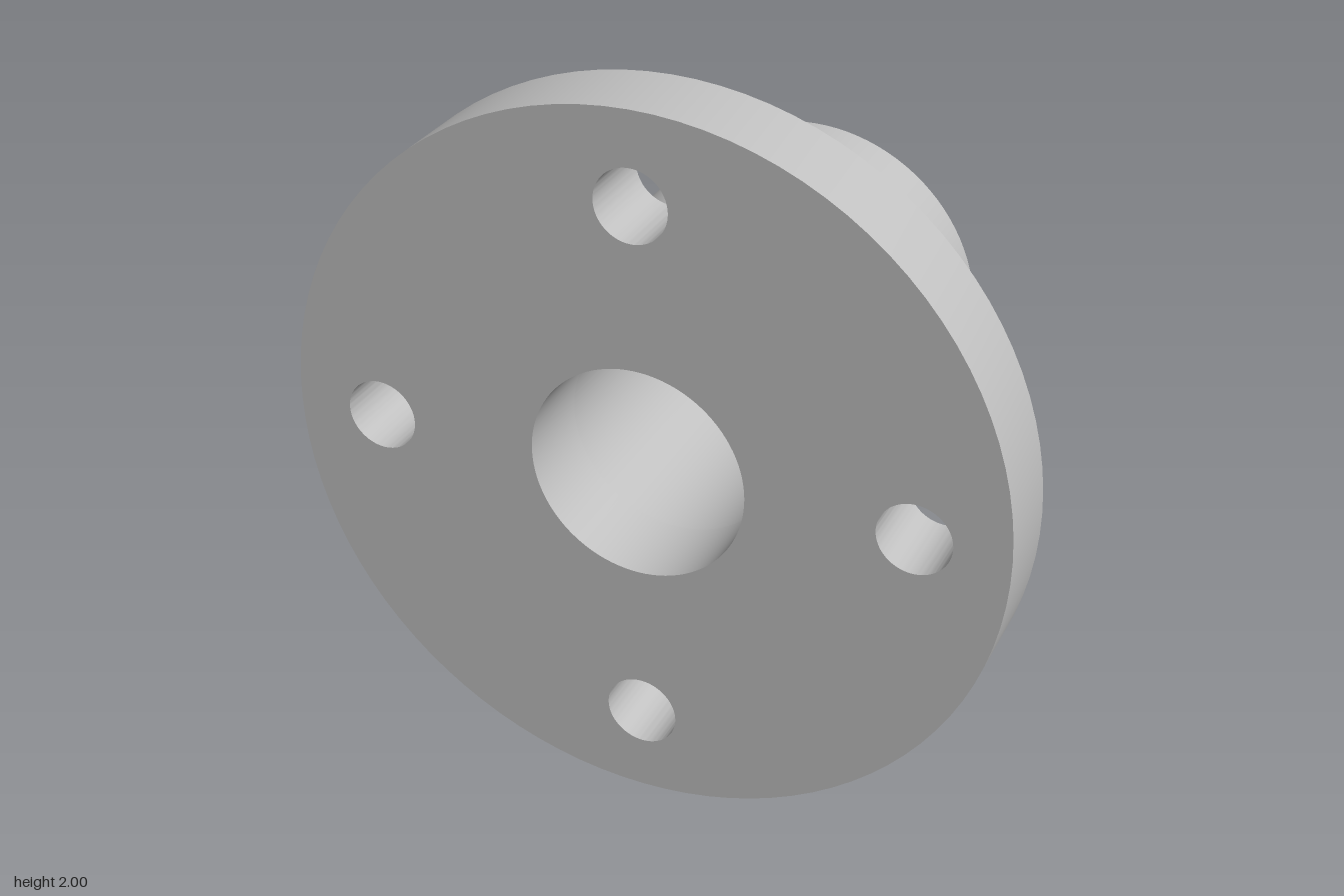
import * as THREE from 'three';
import { toCreasedNormals } from 'three/addons/utils/BufferGeometryUtils.js';

const AXIS_Y = 1;
const FLANGE_R = 1, HUB_R = 0.5, BORE_R = 0.3;
const BOLT_R = 0.1, BOLT_CIRCLE = 0.75, BOLTS = 4;
const FRONT = 0.6, STEP = 0.36, BACK = -0.6;

export function createModel() {
  const group = new THREE.Group();
  group.name = 'flangedBushing';
  const steel = new THREE.MeshStandardMaterial({ color: 0xc0c0c0 });
  steel.name = 'steel grey';

  const add = (name, geometry) => {
    const mesh = new THREE.Mesh(toCreasedNormals(geometry, Math.PI / 6), steel);
    mesh.name = name;
    mesh.position.y = AXIS_Y;
    group.add(mesh);
  };

  // Flange: disc with the central bore and a ring of bolt holes
  const disc = new THREE.Shape().absarc(0, 0, FLANGE_R, 0, Math.PI * 2);
  const drill = (x, y, r) =>
    disc.holes.push(new THREE.Path().absarc(x, y, r, 0, Math.PI * 2, true));
  drill(0, 0, BORE_R);
  for (let i = 0; i < BOLTS; i++) {
    const a = (i / BOLTS) * Math.PI * 2;
    drill(BOLT_CIRCLE * Math.cos(a), BOLT_CIRCLE * Math.sin(a), BOLT_R);
  }
  const flange = new THREE.ExtrudeGeometry(disc, {
    depth: FRONT - STEP, bevelEnabled: false, curveSegments: 48,
  });
  flange.translate(0, 0, STEP);
  add('flange', flange);

  // Hub: hollow sleeve behind the flange, open where it joins
  const profile = [
    [BORE_R, STEP], [BORE_R, BACK], [HUB_R, BACK], [HUB_R, STEP],
  ].map(([r, z]) => new THREE.Vector2(r, z));
  add('hub', new THREE.LatheGeometry(profile, 96).rotateX(Math.PI / 2));

  return group;
}
